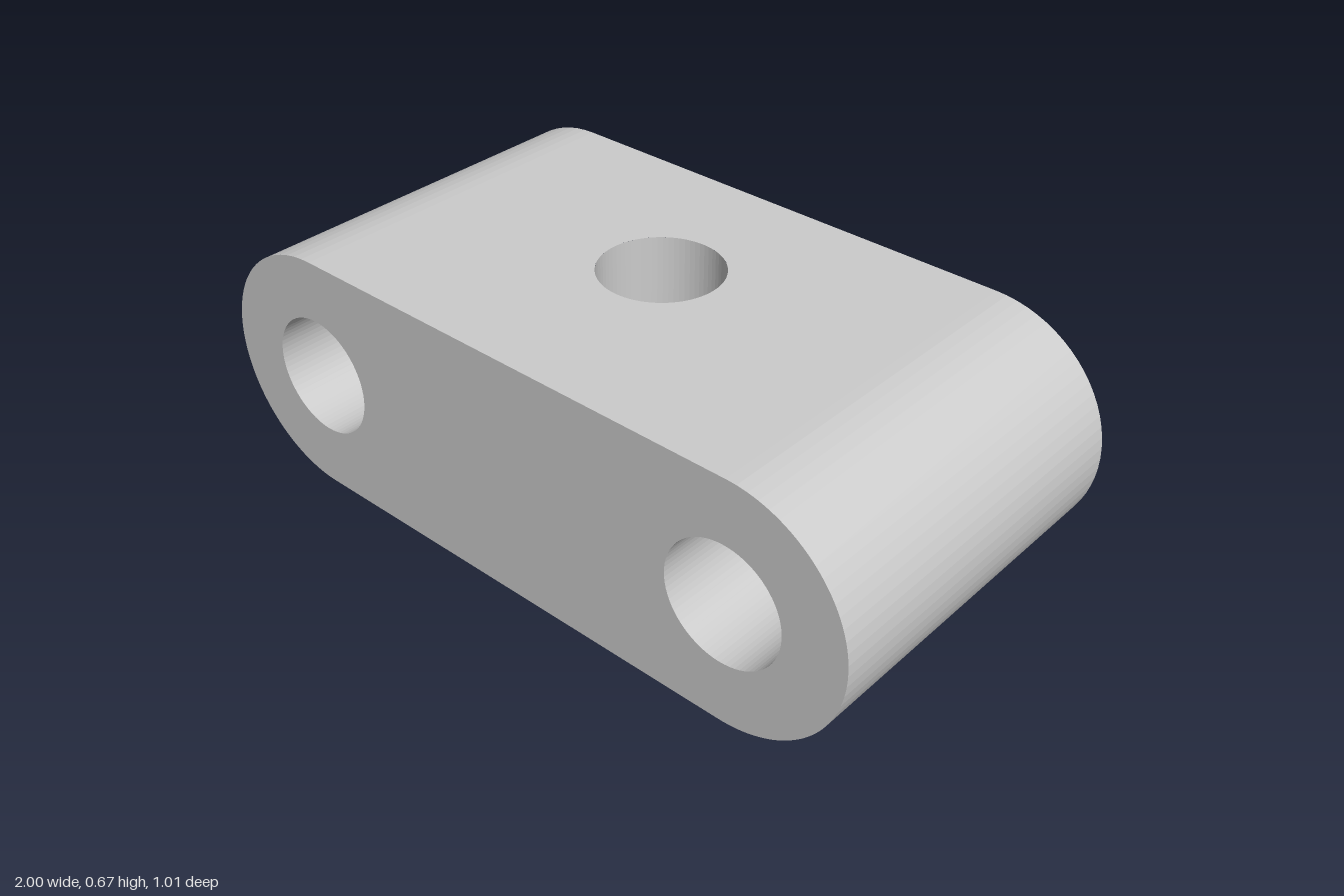
import * as THREE from 'three';

const R = 1 / 3;        // radius of the rounded ends, half the height
const C = 2 / 3;        // x of the end and bore axes
const D = 0.507;        // half the depth
const BORE = 0.163;     // radius of all holes
const BLIND_Z = -0.05;  // z of the blind hole in the top
const BLIND_DEPTH = 0.34;
const SEG = 72;

const material = new THREE.MeshStandardMaterial({ color: 0xcccccc, flatShading: true });

export function createModel() {
  const group = new THREE.Group();
  const add = (name, geometry) => {
    const mesh = new THREE.Mesh(geometry, material);
    mesh.name = name;
    group.add(mesh);
    return mesh;
  };
  const circle = (x, y) => new THREE.Path().absarc(x, y, BORE, 0, Math.PI * 2, true);
  const lathe = (points, segments, start = 0, length = Math.PI * 2) =>
    new THREE.LatheGeometry(points.map(([x, y]) => new THREE.Vector2(x, y)), segments, start, length);

  // Front and back faces, each with two bore openings
  const face = new THREE.Shape();
  face.absarc(C, 0, R, -Math.PI / 2, Math.PI / 2, false);
  face.absarc(-C, 0, R, Math.PI / 2, Math.PI * 1.5, false);
  face.closePath();
  face.holes.push(circle(C, 0), circle(-C, 0));
  add('frontFace', new THREE.ShapeGeometry(face, SEG / 2).translate(0, R, D));
  add('backFace', new THREE.ShapeGeometry(face, SEG / 2).rotateY(Math.PI).translate(0, R, -D));

  // Rounded ends and the through bores inside them
  for (const [side, x, start] of [['left', C, 0], ['right', -C, Math.PI]]) {
    add(side + 'RoundedEnd', lathe([[R, -D], [R, D]], SEG / 2, start, Math.PI)
      .rotateX(Math.PI / 2).translate(x, R, 0));
    add(side + 'Bore', lathe([[BORE, D], [BORE, -D]], SEG)
      .rotateX(Math.PI / 2).translate(x, R, 0));
  }

  // Flat top with its hole opening, and flat bottom
  const top = new THREE.Shape([[-C, -D], [C, -D], [C, D], [-C, D]].map(([x, y]) => new THREE.Vector2(x, y)));
  top.holes.push(circle(0, -BLIND_Z));
  add('topFace', new THREE.ShapeGeometry(top, SEG).rotateX(-Math.PI / 2).translate(0, 2 * R, 0));
  add('bottomFace', new THREE.PlaneGeometry(2 * C, 2 * D).rotateX(Math.PI / 2));

  // Blind hole: wall and floor
  add('blindHole', lathe([[BORE, 0], [BORE, -BLIND_DEPTH], [0, -BLIND_DEPTH]], SEG)
    .translate(0, 2 * R, BLIND_Z));

  return group;
}
